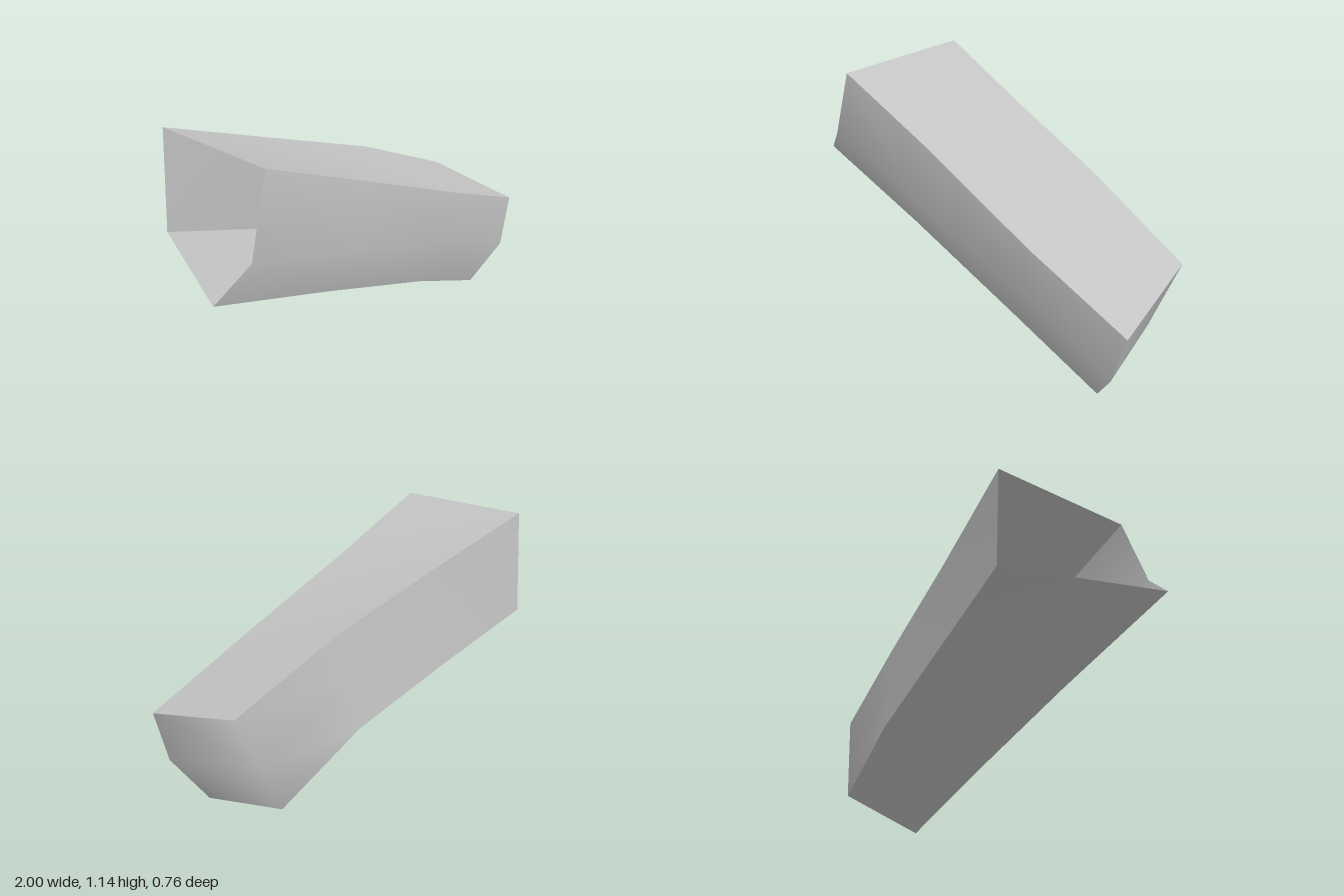
import * as THREE from 'three';

// Edge lines of the shell, each running from the open end to the closed end
const topFront = [[-0.74, 1.14, 0.345], [-0.18, 0.925, 0.265], [0.47, 0.675, 0.197], [1, 0.48, 0.12]];
const midFront = [[-0.845, 0.79, 0.38], [-0.23, 0.62, 0.297], [0.43, 0.43, 0.212], [0.94, 0.22, 0.13]];
const lowFront = [[-1, 0.64, 0.335], [-0.37, 0.435, 0.237], [0.3, 0.21, 0.145], [0.8, 0, 0.05]];
const topBack = [[-0.8, 1.145, -0.345], [-0.26, 0.985, -0.33], [0.33, 0.81, -0.325], [0.88, 0.59, -0.335]];
const lowBack = [[-0.82, 0.645, -0.37], [-0.28, 0.5, -0.37], [0.26, 0.345, -0.375], [0.7, 0.12, -0.382]];

// Smooth surface lofted through rows of points with equal counts
function loft(rows) {
  const n = rows[0].length;
  const index = [];
  for (let j = 0; j < rows.length - 1; j++) {
    for (let i = 0; i < n - 1; i++) {
      const a = j * n + i, b = a + 1, d = a + n, c = d + 1;
      index.push(a, d, c, a, c, b);
    }
  }
  const geometry = new THREE.BufferGeometry();
  geometry.setAttribute('position', new THREE.Float32BufferAttribute(rows.flat(2), 3));
  geometry.setIndex(index);
  geometry.computeVertexNormals();
  return geometry;
}

export function createModel() {
  const group = new THREE.Group();
  group.name = 'beamShell';
  const grey = new THREE.MeshStandardMaterial({ color: 0xc4c4c4, side: THREE.DoubleSide });
  grey.name = 'lightGrey';

  const add = (name, rows) => {
    const mesh = new THREE.Mesh(loft(rows), grey);
    mesh.name = name;
    group.add(mesh);
  };

  add('topPanel', [topBack, topFront]);
  add('frontPanel', [topFront, midFront, lowFront]);
  add('bottomPanel', [lowFront, lowBack]);

  // The back panel turns smoothly around the corner into the closed end
  const midBack = topBack.map((p, i) => p.map((v, k) => (v + lowBack[i][k]) / 2));
  add('backPanelAndEnd', [
    [...lowBack, lowFront[3]],
    [...midBack, midFront[3]],
    [...topBack, topFront[3]],
  ]);
  return group;
}
